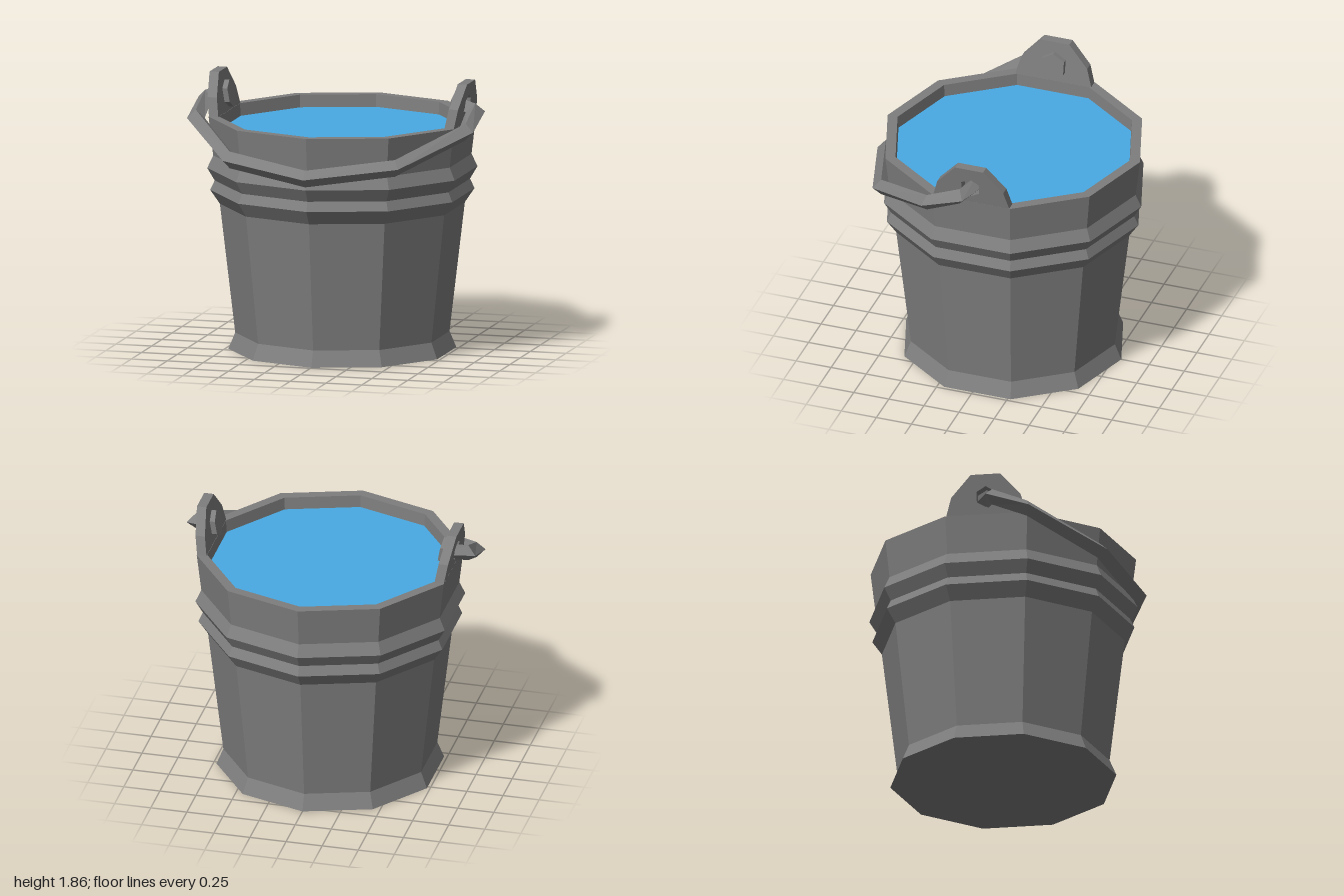
import * as THREE from 'three';

const grey = new THREE.MeshStandardMaterial({ color: 0x7e7e7e, flatShading: true });
const blue = new THREE.MeshStandardMaterial({ color: 0x48aae4, flatShading: true });
const CENTRE_Z = -0.035;
const SIDES = 10;
const vec = ([x, y]) => new THREE.Vector2(x, y);

function add(parent, name, geometry, material = grey) {
  const mesh = new THREE.Mesh(geometry, material);
  mesh.name = name;
  parent.add(mesh);
}

// Lean a part outwards (+x) as it rises above baseY
function lean(geometry, slope, baseY) {
  const p = geometry.attributes.position;
  for (let i = 0; i < p.count; i++) p.setX(i, p.getX(i) + (p.getY(i) - baseY) * slope);
  geometry.computeVertexNormals();
  return geometry;
}

// Upright plate continuing one wall facet, with a hexagonal hole and a nut inside
function createMount(angle) {
  const mount = new THREE.Group();
  mount.name = 'handleMount';
  const half = [[0.275, 1.57], [0.235, 1.71], [0.1, 1.86]];
  const outline = [...half, ...half.map(([z, y]) => [-z, y]).reverse()];
  const shape = new THREE.Shape(outline.map(vec));
  const hex = [];
  for (let i = 0; i < 6; i++) {
    const a = (i * Math.PI) / 3;
    hex.push(new THREE.Vector2(0.072 * Math.sin(a), 1.705 + 0.072 * Math.cos(a)));
  }
  shape.holes.push(new THREE.Path(hex));
  const plate = new THREE.ExtrudeGeometry(shape, { depth: 0.065, bevelEnabled: false });
  plate.rotateY(Math.PI / 2).translate(0.787, 0, 0);
  add(mount, 'mountPlate', lean(plate, 0.16, 1.57));

  // six-sided nut with a corner pointing up
  const nut = new THREE.CylinderGeometry(0.092, 0.092, 0.036, 6, 1, false, Math.PI / 2);
  nut.rotateZ(Math.PI / 2).translate(0.79, 1.7, 0);
  add(mount, 'nut', lean(nut, 0.18, 1.7));
  mount.rotation.y = angle;
  return mount;
}

// Angular bail: a diamond section swept along a sloping path, mirrored left to right
function createHandle() {
  // outer x, outer z, inner x, inner z of each section, from the front to the +x end
  const half = [
    [0, 0.936, 0, 0.82], [0.61, 0.755, 0.543, 0.655], [0.998, 0.27, 0.885, 0.23],
    [1, -0.02, 0.885, 0.051], [0.8, -0.11, 0.8, 0.012],
  ];
  const mirrored = half.slice(1).map(([ox, oz, ix, iz]) => [-ox, oz, -ix, iz]).reverse();
  const sections = [...mirrored, ...half];
  const positions = [];
  const index = [];
  sections.forEach(([ox, oz, ix, iz], i) => {
    const cx = (ox + ix) / 2;
    const cz = (oz + iz) / 2;
    const y = 1.315 + 0.41 * (0.878 - cz);
    positions.push(ox, y, oz, cx, y + 0.057, cz, ix, y, iz, cx, y - 0.057, cz);
    if (i === 0) return;
    for (let j = 0; j < 4; j++) {
      const k = (j + 1) % 4;
      const a = (i - 1) * 4;
      const b = i * 4;
      index.push(a + j, b + j, b + k, a + j, b + k, a + k);
    }
  });
  // close both ends
  const e = (sections.length - 1) * 4;
  index.push(0, 1, 2, 0, 2, 3, e, e + 2, e + 1, e, e + 3, e + 2);
  const geometry = new THREE.BufferGeometry();
  geometry.setAttribute('position', new THREE.Float32BufferAttribute(positions, 3));
  geometry.setIndex(index);
  const flat = geometry.toNonIndexed();
  flat.computeVertexNormals();
  return flat;
}

export function createModel() {
  const model = new THREE.Group();
  model.name = 'bucket';

  const body = new THREE.Group();
  body.name = 'bucketBody';
  body.position.z = CENTRE_Z;
  model.add(body);

  // Wall with flared foot, two ridged hoops, flat rim and inner lip
  const profile = [
    [0, 0], [0.766, 0], [0.72, 0.11], [0.823, 0.99], [0.888, 1.085], [0.858, 1.15],
    [0.908, 1.235], [0.868, 1.32], [0.899, 1.585], [0.828, 1.585], [0.82, 1.48],
  ];
  add(body, 'wall', new THREE.LatheGeometry(profile.map(vec), SIDES));

  // Water surface just below the rim
  const water = new THREE.CircleGeometry(0.823, SIDES, Math.PI / 2);
  water.rotateX(-Math.PI / 2).translate(0, 1.5, 0);
  add(body, 'water', water, blue);

  for (const angle of [0, Math.PI]) body.add(createMount(angle));

  add(model, 'handle', createHandle());
  return model;
}
